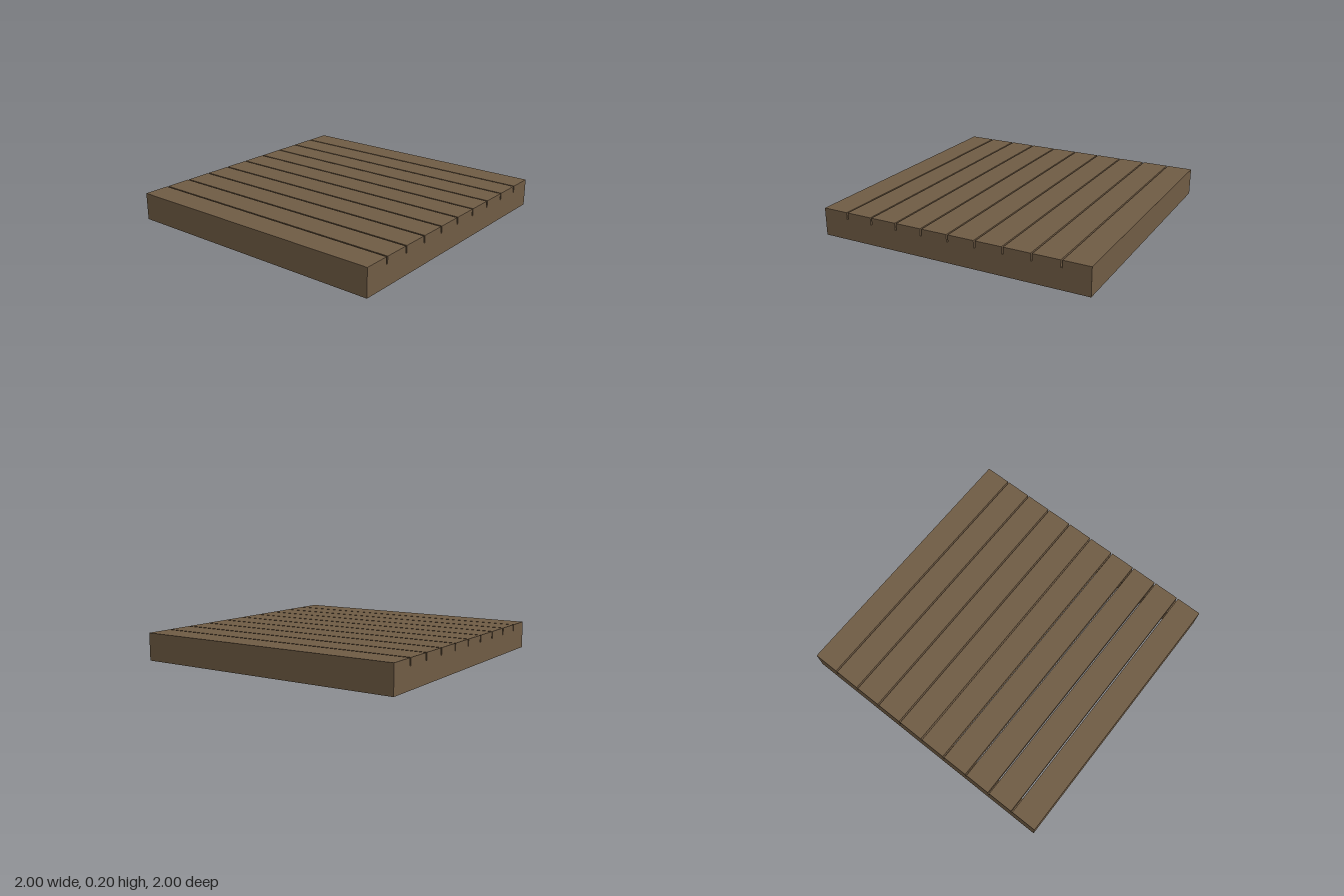
import * as THREE from 'three';

export function createModel() {
  const group = new THREE.Group();
  group.name = 'woodenDeck';
  const wood = new THREE.MeshStandardMaterial({ color: 0x6f5b44 });
  wood.name = 'brown wood';

  const board = (name, w, h, d, x, y, z) => {
    const mesh = new THREE.Mesh(new THREE.BoxGeometry(w, h, d), wood);
    mesh.name = name;
    mesh.position.set(x, y, z);
    group.add(mesh);
  };

  const frameHeight = 0.15, plankHeight = 0.05, beam = 0.12;
  const innerLength = 2 - 2 * beam;

  // Front and back beams, with side beams fitted between them
  for (const side of [-1, 1]) {
    const offset = side * (1 - beam / 2);
    board(side > 0 ? 'frontBeam' : 'backBeam', 2, frameHeight, beam, 0, frameHeight / 2, offset);
    board(side > 0 ? 'leftBeam' : 'rightBeam', beam, frameHeight, innerLength, offset, frameHeight / 2, 0);
  }

  // Inner joists under the planks
  for (const x of [-0.5, 0, 0.5]) {
    board('joist', 0.08, frameHeight, innerLength, x, frameHeight / 2, 0);
  }

  // Evenly spaced top planks with narrow gaps
  const count = 10, plankWidth = 0.19;
  const pitch = (2 - plankWidth) / (count - 1);
  for (let i = 0; i < count; i++) {
    const x = -1 + plankWidth / 2 + i * pitch;
    board('plank', plankWidth, plankHeight, 2, x, frameHeight + plankHeight / 2, 0);
  }

  return group;
}
